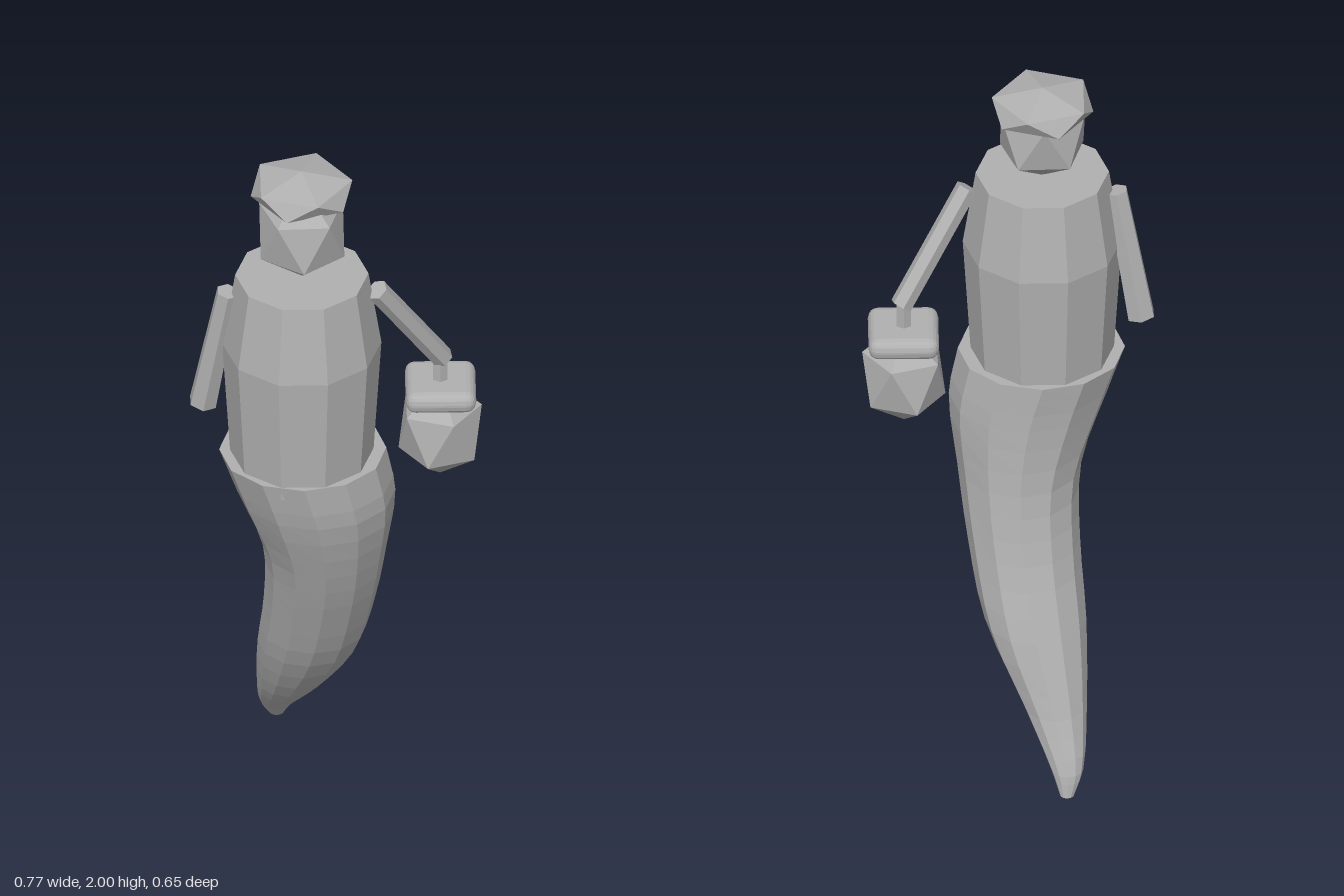
import * as THREE from 'three';
import { RoundedBoxGeometry } from 'three/addons/geometries/RoundedBoxGeometry.js';

const V = (x, y, z) => new THREE.Vector3(x, y, z);

export function createModel() {
  const model = new THREE.Group();
  const grey = new THREE.MeshStandardMaterial({ color: 0xb0b0b0, flatShading: true });
  grey.name = 'plain grey';

  function add(name, geometry, parent = model) {
    const mesh = new THREE.Mesh(geometry, grey);
    mesh.name = name;
    parent.add(mesh);
    return mesh;
  }

  // Twenty-sided gem standing on a point, with two staggered rings of five corners
  function gem(center, width, height, turn = 0) {
    const pos = [0, 1, 0];
    for (let k = 0; k < 10; k++) {
      const a = (k * Math.PI) / 5 + turn;
      pos.push(0.894 * Math.cos(a), k % 2 ? -0.447 : 0.447, -0.894 * Math.sin(a));
    }
    pos.push(0, -1, 0);
    const idx = [];
    for (let k = 0; k < 10; k += 2) {
      const u = 1 + k, l = 2 + k, u2 = 1 + ((k + 2) % 10), l2 = 1 + ((k + 3) % 10);
      idx.push(0, u, u2, u, l, u2, u2, l, l2, 11, l2, l);
    }
    const geo = new THREE.BufferGeometry();
    geo.setAttribute('position', new THREE.Float32BufferAttribute(pos, 3));
    geo.setIndex(idx);
    geo.scale(width, height, width);
    geo.translate(center.x, center.y, center.z);
    geo.computeVertexNormals();
    return geo;
  }

  // Six-sided limb between two points
  function limb(name, a, b, ra, rb) {
    const dir = b.clone().sub(a);
    const mesh = add(name, new THREE.CylinderGeometry(rb, ra, dir.length(), 6));
    mesh.position.copy(a).add(b).multiplyScalar(0.5);
    mesh.quaternion.setFromUnitVectors(V(0, 1, 0), dir.normalize());
  }

  // Tail: y, min x, max x, min z, max z of each main cross-section
  const sections = [
    [0, -0.167, -0.13, -0.322, -0.288],
    [0.06, -0.192, -0.107, -0.312, -0.23],
    [0.2, -0.203, -0.035, -0.255, -0.08],
    [0.4, -0.203, 0.065, -0.19, 0.07],
    [0.6, -0.188, 0.108, -0.122, 0.165],
    [0.8, -0.192, 0.135, -0.082, 0.245],
    [1.0, -0.26, 0.157, -0.07, 0.308],
    [1.14, -0.308, 0.133, -0.073, 0.327],
  ];
  const centers = new THREE.CatmullRomCurve3(
    sections.map(([y, x0, x1, z0, z1]) => V((x0 + x1) / 2, y, (z0 + z1) / 2)));
  const radii = new THREE.CatmullRomCurve3(
    sections.map(([y, x0, x1, z0, z1]) => V((x1 - x0) / 2, y, (z1 - z0) / 2)));
  const sides = 12, rings = 21;
  const pos = [], idx = [];
  for (let i = 0; i <= rings; i++) {
    const c = centers.getPoint(i / rings), r = radii.getPoint(i / rings);
    for (let j = 0; j < sides; j++) {
      const a = (j / sides) * Math.PI * 2;
      pos.push(c.x + r.x * Math.sin(a), c.y, c.z + r.z * Math.cos(a));
    }
  }
  for (let i = 0; i < rings; i++) {
    for (let j = 0; j < sides; j++) {
      const a = i * sides + j, b = i * sides + ((j + 1) % sides);
      idx.push(a, b, a + sides, b, b + sides, a + sides);
    }
  }
  // Close both ends
  const top = rings * sides;
  for (let j = 1; j < sides - 1; j++) {
    idx.push(0, j + 1, j, top, top + j, top + j + 1);
  }
  const tail = new THREE.BufferGeometry();
  tail.setAttribute('position', new THREE.Float32BufferAttribute(pos, 3));
  tail.setIndex(idx);
  tail.computeVertexNormals();
  add('tail', tail);

  // Ten-sided torso, widest at the middle
  const profile = [[0, 1.1], [0.187, 1.1], [0.21, 1.48], [0.176, 1.7], [0, 1.7]];
  const torso = add('torso', new THREE.LatheGeometry(
    profile.map(([x, y]) => new THREE.Vector2(x, y)), 10, Math.PI / 10));
  torso.position.set(-0.09, 0, 0.13);

  // Head and flat cap
  add('head', gem(V(-0.09, 1.84, 0.127), 0.13, 0.147, 0.35));
  add('cap', gem(V(-0.09, 1.946, 0.088), 0.15, 0.054));

  // Arms
  limb('leftArm', V(0.108, 1.65, 0.135), V(0.284, 1.352, 0.02), 0.03, 0.03);
  limb('rightArm', V(-0.285, 1.643, 0.125), V(-0.35, 1.265, 0.088), 0.031, 0.039);

  // Lantern hanging from the left hand
  const lantern = new THREE.Group();
  lantern.name = 'lantern';
  model.add(lantern);
  const stem = add('lanternStem', new THREE.CylinderGeometry(0.022, 0.022, 0.1, 6), lantern);
  stem.position.set(0.277, 1.32, 0.023);
  const lid = add('lanternLid', new RoundedBoxGeometry(0.186, 0.06, 0.19, 2, 0.027), lantern);
  lid.position.set(0.278, 1.26, 0.023);
  add('lanternBody', gem(V(0.277, 1.135, 0.022), 0.123, 0.15), lantern);

  return model;
}
